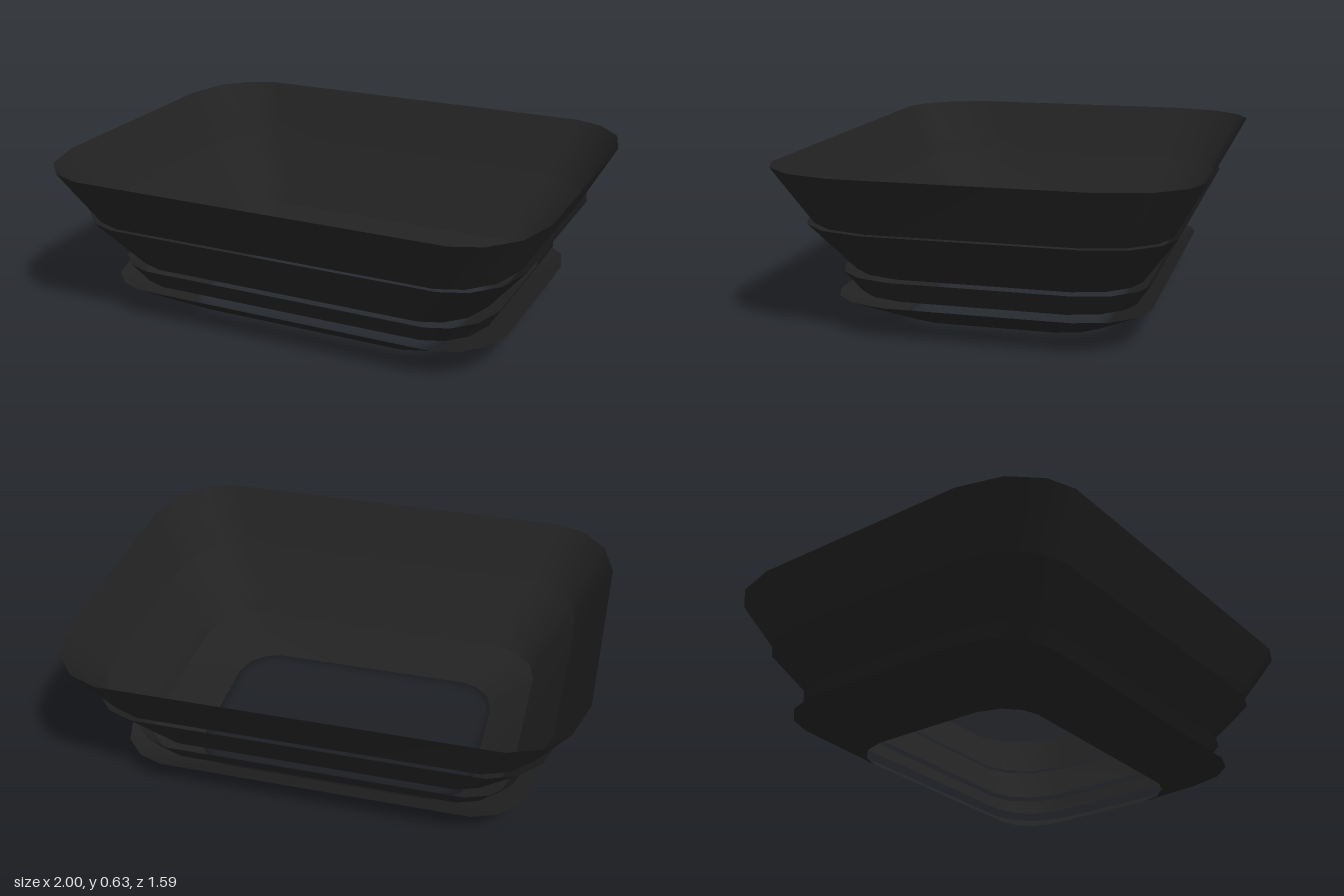
import * as THREE from 'three';

// One rounded corner as fractions of the half width and half depth
const CORNER = [[1, 0.585], [0.953, 0.805], [0.858, 0.943], [0.745, 1]];

// Whole outline, mirrored into four quadrants and running one way round
function outline() {
  const points = [];
  for (const [sx, sz] of [[1, 1], [-1, 1], [-1, -1], [1, -1]]) {
    const corner = sx * sz > 0 ? CORNER : [...CORNER].reverse();
    for (const [x, z] of corner) points.push([x * sx, z * sz]);
  }
  return points;
}

// Open flared band between two rings, each given as [half width, y, half depth]
function flaredBand(name, bottom, top, material) {
  const loop = outline(), n = loop.length;
  const positions = [], index = [];
  for (const [w, y, d] of [bottom, top]) {
    for (const [x, z] of loop) positions.push(x * w, y, z * d);
  }
  for (let i = 0; i < n; i++) {
    const j = (i + 1) % n;
    index.push(i, i + n, j, j, i + n, j + n);
  }
  const geometry = new THREE.BufferGeometry();
  geometry.setAttribute('position', new THREE.Float32BufferAttribute(positions, 3));
  geometry.setIndex(index);
  geometry.computeVertexNormals();
  const mesh = new THREE.Mesh(geometry, material);
  mesh.name = name;
  return mesh;
}

export function createModel() {
  const group = new THREE.Group();
  group.name = 'flaredBasket';
  const black = new THREE.MeshStandardMaterial({ color: 0x222222, side: THREE.DoubleSide });
  black.name = 'black';

  // Four separate bands stacked from the floor up
  const bands = [
    ['baseBand', [0.57, 0, 0.398], [0.83, 0.128, 0.595]],
    ['collarBand', [0.74, 0.128, 0.53], [0.79, 0.212, 0.588]],
    ['middleBand', [0.74, 0.212, 0.552], [0.903, 0.41, 0.692]],
    ['rimBand', [0.878, 0.41, 0.672], [1, 0.63, 0.797]],
  ];
  for (const [name, bottom, top] of bands) group.add(flaredBand(name, bottom, top, black));
  return group;
}
